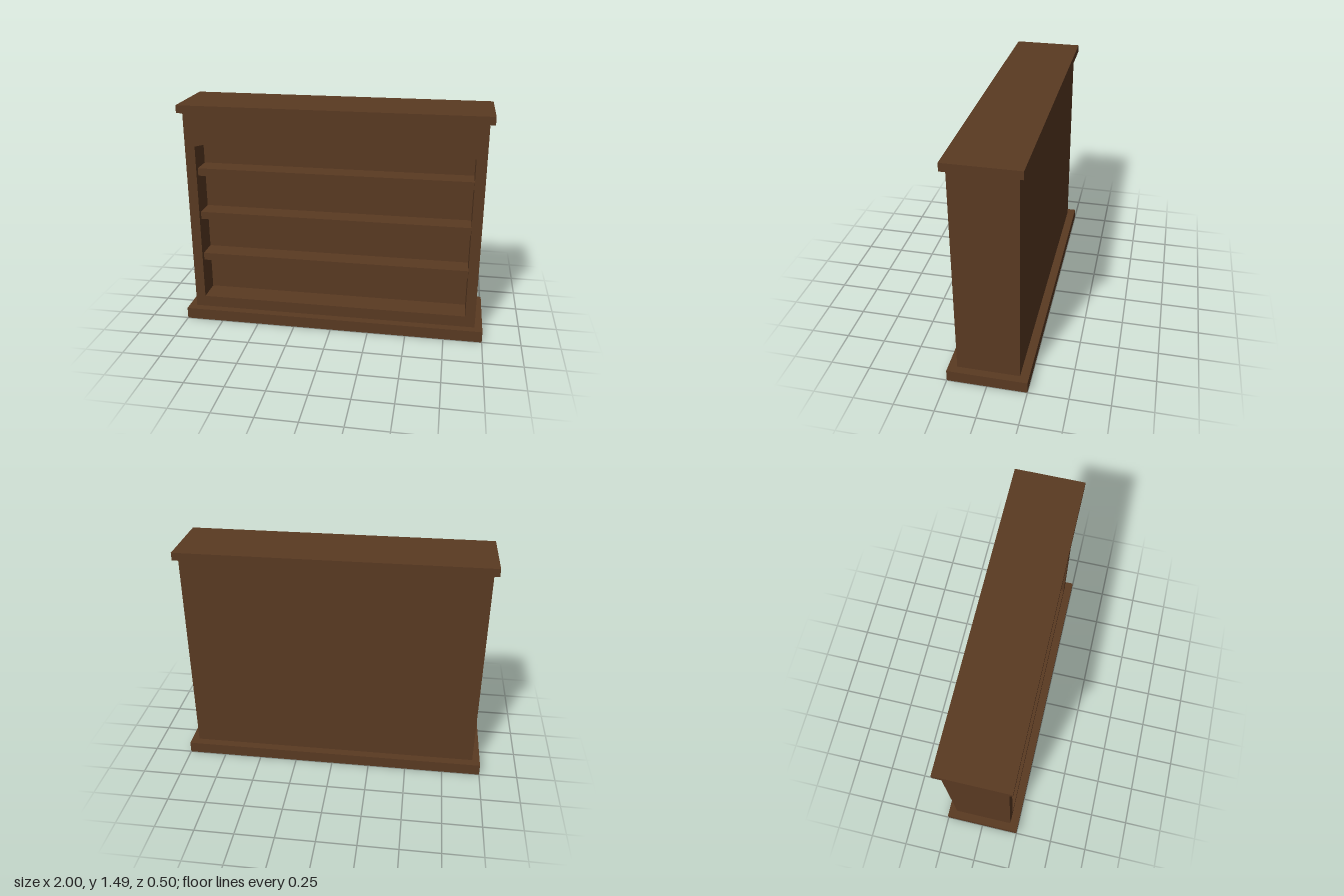
import * as THREE from 'three';

// Open band of flat walls following a 2D outline, from depth a to depth b along z
function band(points, a, b, closed = true) {
  const pos = [];
  const n = closed ? points.length : points.length - 1;
  for (let i = 0; i < n; i++) {
    const [x0, y0] = points[i];
    const [x1, y1] = points[(i + 1) % points.length];
    pos.push(x0, y0, a, x1, y1, a, x1, y1, b);
    pos.push(x0, y0, a, x1, y1, b, x0, y0, b);
  }
  const g = new THREE.BufferGeometry();
  g.setAttribute('position', new THREE.Float32BufferAttribute(pos, 3));
  g.computeVertexNormals();
  return g;
}

const rect = (w, h) => [[-w, -h], [w, -h], [w, h], [-w, h]];
const toVectors = (points) => points.map(([x, y]) => new THREE.Vector2(x, y));

// Flat panel with an optional opening
function panel(outline, opening) {
  const shape = new THREE.Shape(toVectors(outline));
  if (opening) shape.holes.push(new THREE.Path(toVectors(opening)));
  return new THREE.ShapeGeometry(shape);
}

export function createModel() {
  const group = new THREE.Group();
  const wood = new THREE.MeshStandardMaterial({ color: 0x5a3a22, side: THREE.DoubleSide });
  wood.name = 'dark wood';

  const add = (name, geometry, x = 0, y = 0, z = 0) => {
    const mesh = new THREE.Mesh(geometry, wood);
    mesh.name = name;
    mesh.position.set(x, y, z);
    group.add(mesh);
    return mesh;
  };

  const plinthTop = 0.075, bodyTop = 1.435, capTop = 1.485;
  const bodyW = 0.95, bodyD = 0.195;
  const nicheW = 0.885, nicheFloor = 0.15, nicheBack = 0.03;

  // Hollow plinth, open underneath, with a ledge around the body
  add('plinthWalls', band(rect(1, 0.25), 0, plinthTop).rotateX(-Math.PI / 2));
  add('plinthLedge', panel(rect(1, 0.25), rect(bodyW, bodyD)).rotateX(-Math.PI / 2), 0, plinthTop);

  // Body: sides and back in one band, open at the bottom
  const sidesAndBack = [[bodyW, -bodyD], [bodyW, bodyD], [-bodyW, bodyD], [-bodyW, -bodyD]];
  add('bodyWalls', band(sidesAndBack, plinthTop, bodyTop, false).rotateX(-Math.PI / 2));

  // Front face with the arched opening
  const arch = [
    [-nicheW, nicheFloor], [nicheW, nicheFloor], [nicheW, 1.215],
    [0.285, 1.36], [-0.285, 1.36], [-nicheW, 1.215],
  ];
  const front = [[-bodyW, plinthTop], [bodyW, plinthTop], [bodyW, bodyTop], [-bodyW, bodyTop]];
  add('frontFrame', panel(front, arch), 0, 0, bodyD);

  // Niche lining and back panel
  add('nicheLining', band([...arch].reverse(), nicheBack, bodyD));
  add('nicheBack', panel(arch), 0, 0, nicheBack);

  // Shelves, set slightly behind the front
  const shelfFront = 0.165, shelfDepth = shelfFront - nicheBack;
  for (const y of [0.437, 0.735, 1.037]) {
    add('shelf', new THREE.BoxGeometry(nicheW * 2, 0.05, shelfDepth), 0, y, nicheBack + shelfDepth / 2);
  }

  // Overhanging top
  add('topCap', new THREE.BoxGeometry(1.96, capTop - bodyTop, 0.445), 0, (capTop + bodyTop) / 2, 0);

  return group;
}
